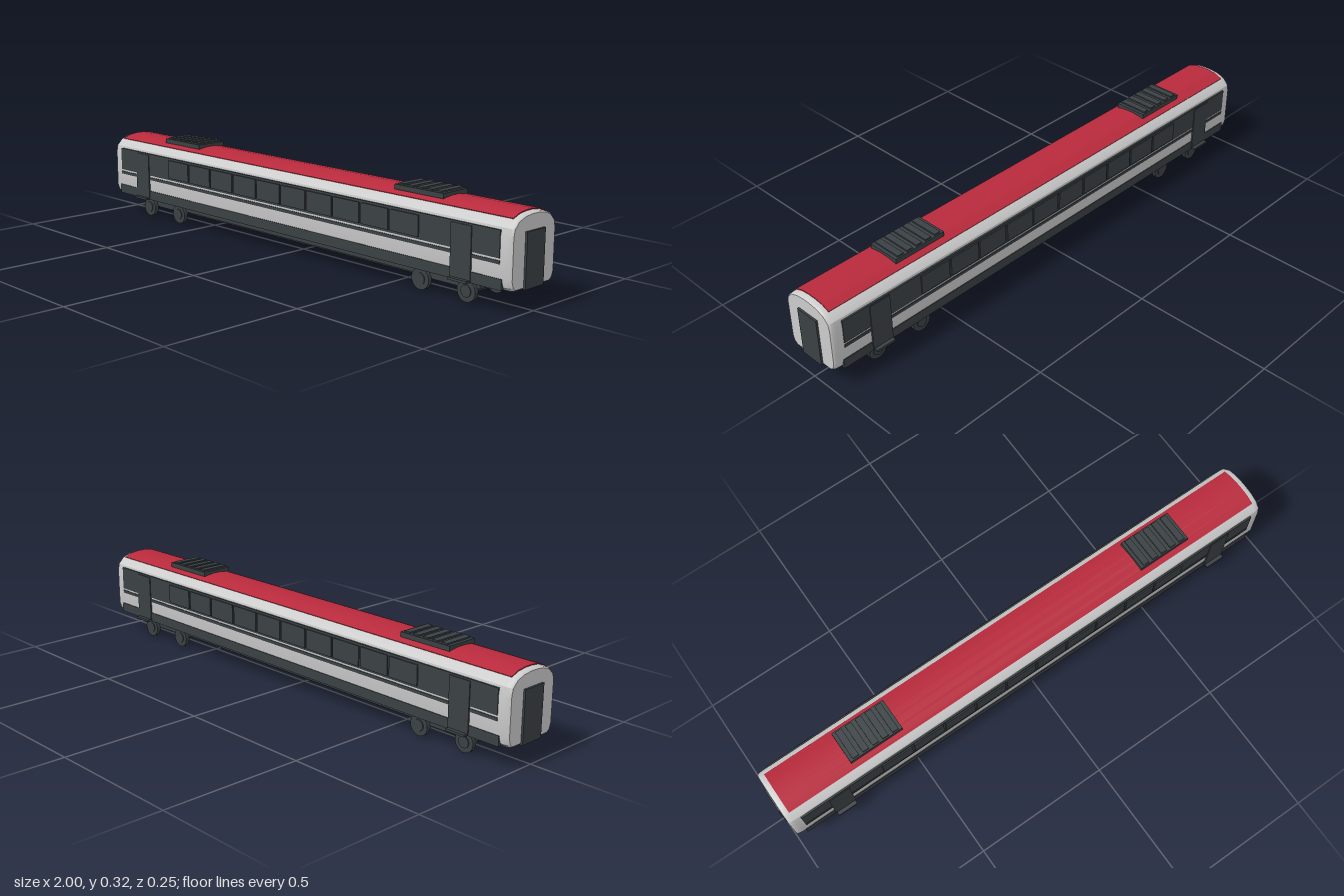
import * as THREE from 'three';
import { toCreasedNormals } from 'three/addons/utils/BufferGeometryUtils.js';

const grey = new THREE.MeshStandardMaterial({ color: 0xcccccc });
const dark = new THREE.MeshStandardMaterial({ color: 0x3a4043 });
const red = new THREE.MeshStandardMaterial({ color: 0xb82a3c });

export function createModel() {
  const model = new THREE.Group();

  const add = (name, geometry, material, x = 0, y = 0, z = 0) => {
    const mesh = new THREE.Mesh(geometry, material);
    mesh.name = name;
    mesh.position.set(x, y, z);
    model.add(mesh);
    return mesh;
  };
  // Box given by its limits
  const box = (name, x0, x1, y0, y1, z0, z1, material = dark) =>
    add(name, new THREE.BoxGeometry(x1 - x0, y1 - y0, Math.abs(z1 - z0)), material,
      (x0 + x1) / 2, (y0 + y1) / 2, (z0 + z1) / 2);

  // Mirrors half a cross-section [z, y] and extrudes it along x
  const loft = (half, length, bevel) => {
    const pts = [...half, ...half.slice().reverse().map(([z, y]) => [-z, y])];
    const shape = new THREE.Shape(pts.map(([z, y]) => new THREE.Vector2(z, y)));
    const g = new THREE.ExtrudeGeometry(shape, {
      depth: length - 2 * bevel, bevelEnabled: bevel > 0, bevelThickness: bevel,
      bevelSize: 0.006, bevelOffset: -0.006, bevelSegments: 2,
    });
    g.translate(0, 0, -length / 2 + bevel);
    g.rotateY(Math.PI / 2);
    return toCreasedNormals(g, 0.5);
  };

  // Car shell with chamfered ends
  add('body', loft([
    [0.085, 0.072], [0.1, 0.083], [0.107, 0.105], [0.107, 0.24], [0.102, 0.266],
    [0.08, 0.289], [0.048, 0.301], [0.015, 0.305],
  ], 1.986, 0.022), grey);

  // Red roof skin
  add('roof', loft([
    [0.076, 0.285], [0.079, 0.292], [0.048, 0.304], [0.016, 0.308],
  ], 1.944, 0), red);

  for (const s of [-1, 1]) {
    // Dark bands along each side
    box('windowBand', -0.95, 0.95, 0.172, 0.258, s * 0.1, s * 0.1095);
    box('thinStripe', -0.95, 0.95, 0.154, 0.165, s * 0.1, s * 0.1095);
    box('lowerBand', -0.96, 0.96, 0.075, 0.11, s * 0.098, s * 0.1095);

    // Window panes
    for (let i = 0; i < 10; i++) {
      const x = (i - 4.5) * 0.128;
      box('window', x - 0.06, x + 0.06, 0.18, 0.25, s * 0.105, s * 0.114);
    }

    // Side doors with a step below
    for (const x of [-0.805, 0.805]) {
      box('sideDoor', x - 0.04, x + 0.04, 0.076, 0.252, s * 0.104, s * 0.1125);
      box('doorStep', x - 0.037, x + 0.037, 0.074, 0.082, s * 0.1, s * 0.126);
    }

    // Gangway door at each end
    const x = s * 0.99;
    box('endDoor', x - 0.01, x + 0.01, 0.073, 0.25, -0.045, 0.045);
  }

  // Roof air conditioners with slats
  for (const x of [-0.615, 0.588]) {
    box('airConditioner', x - 0.102, x + 0.102, 0.302, 0.319, -0.06, 0.06);
    for (let i = -2; i <= 2; i++)
      box('slat', x + i * 0.039 - 0.012, x + i * 0.039 + 0.012, 0.316, 0.324, -0.055, 0.055);
  }

  // Underframe and bogies
  box('underframe', -0.85, 0.85, 0.048, 0.067, -0.068, 0.068);
  box('floorPlate', -0.6, 0.6, 0.04, 0.07, -0.055, 0.055);
  for (const side of [-1, 1]) {
    box('bogie', side * 0.7125 - 0.13, side * 0.7125 + 0.13, 0.04, 0.072, -0.066, 0.066);
    for (const x of [side * 0.62, side * 0.806]) {
      const axle = add('axle', new THREE.CylinderGeometry(0.008, 0.008, 0.15, 10), dark, x, 0.036, 0);
      axle.rotation.x = Math.PI / 2;
      for (const s of [-1, 1]) {
        const wheel = add('wheel', new THREE.CylinderGeometry(0.036, 0.036, 0.015, 24), dark, x, 0.036, s * 0.073);
        wheel.rotation.x = Math.PI / 2;
        const hub = add('wheelHub', new THREE.CylinderGeometry(0.02, 0.02, 0.004, 16), dark, x, 0.036, s * 0.0815);
        hub.rotation.x = Math.PI / 2;
      }
    }
  }

  return model;
}
